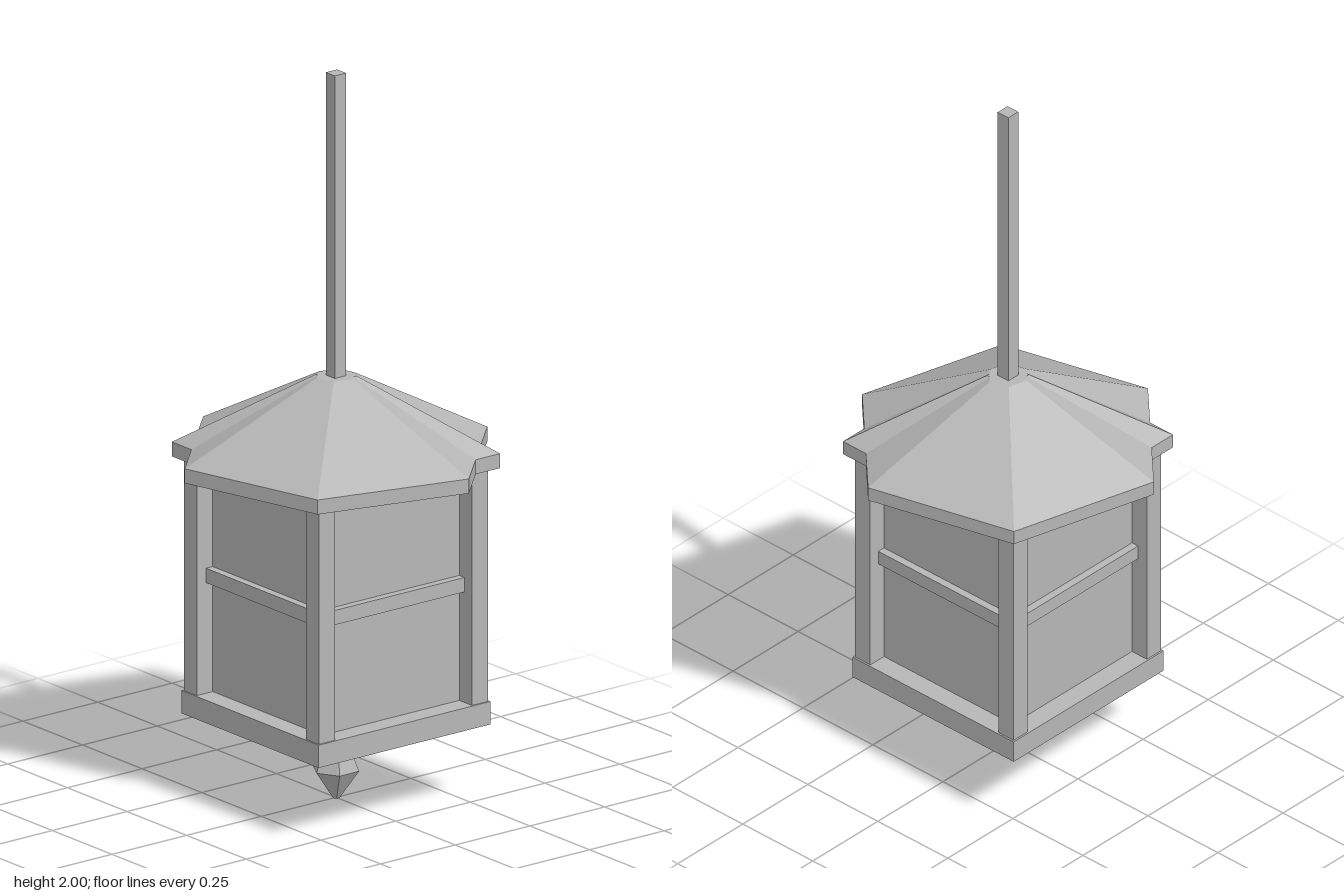
import * as THREE from 'three';

export function createModel() {
  const model = new THREE.Group();
  model.name = 'hangingLantern';
  const grey = new THREE.MeshStandardMaterial({ color: 0xb6b6b6, flatShading: true });
  grey.name = 'plain grey';

  const add = (name, geometry, x = 0, y = 0, z = 0, parent = model) => {
    const mesh = new THREE.Mesh(geometry, grey);
    mesh.name = name;
    mesh.position.set(x, y, z);
    parent.add(mesh);
    return mesh;
  };
  // Box given by its size in x and z and its bottom and top heights
  const box = (name, w, d, y0, y1, x = 0, z = 0, parent = model) =>
    add(name, new THREE.BoxGeometry(w, y1 - y0, d), x, (y0 + y1) / 2, z, parent);
  // Faceted turned part from [radius, height] points, bottom to top
  const turned = (name, profile, sides, start) =>
    add(name, new THREE.LatheGeometry(
      profile.map(([r, y]) => new THREE.Vector2(r, y)), sides, start));

  // Pendant below the base
  turned('finial',
    [[0, 0], [0.01, 0], [0.065, 0.08], [0.036, 0.15], [0.11, 0.22]], 6, Math.PI / 6);

  // Lantern body
  box('base', 0.576, 0.576, 0.217, 0.28);
  box('panels', 0.46, 0.46, 0.27, 0.93);
  for (const x of [-1, 1]) {
    for (const z of [-1, 1]) {
      box('cornerPost', 0.054, 0.054, 0.27, 0.93, x * 0.256, z * 0.256);
    }
  }

  // One crossbar on each side
  for (let i = 0; i < 4; i++) {
    const side = new THREE.Group();
    side.name = 'crossbarSide';
    side.rotation.y = i * Math.PI / 2;
    box('crossbar', 0.46, 0.04, 0.585, 0.625, 0, 0.232, side);
    model.add(side);
  }

  // Roof: a hexagonal and a square hip roof sharing two corners
  const roof = [[0, 0.925], [0.432, 0.925], [0.432, 0.965], [0.055, 1.165], [0, 1.165]];
  turned('hexagonalRoof', roof, 6, Math.PI / 12);
  turned('squareRoof', roof, 4, Math.PI / 4);

  // Hanging rod
  box('rod', 0.038, 0.038, 1.15, 2);

  return model;
}
